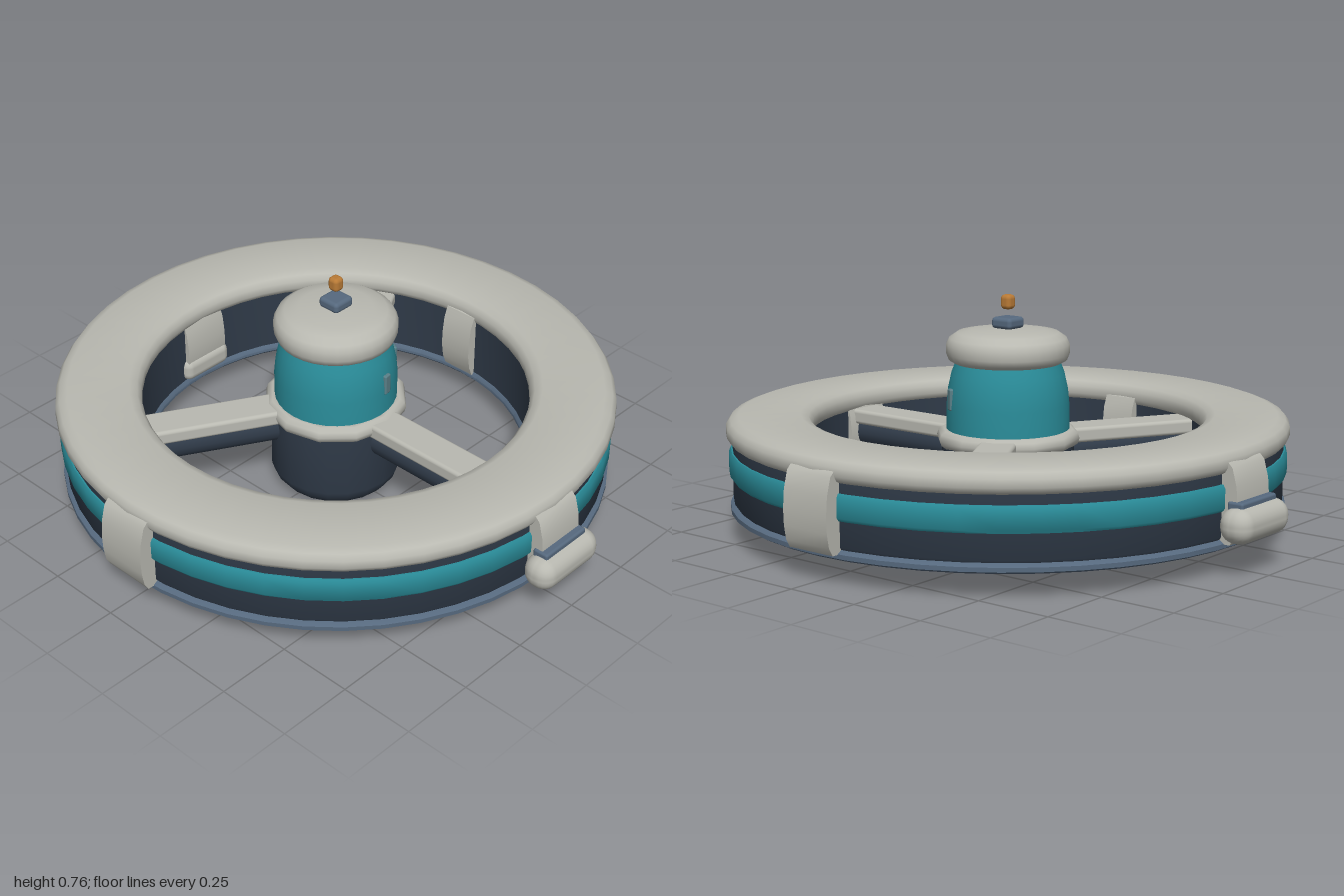
import * as THREE from 'three';
import { toCreasedNormals } from 'three/addons/utils/BufferGeometryUtils.js';
import { RoundedBoxGeometry } from 'three/addons/geometries/RoundedBoxGeometry.js';

const paint = (color) => new THREE.MeshStandardMaterial({ color });
const shell = paint(0xb9b9b1), teal = paint(0x2a8c99), navy = paint(0x303b49);
const slate = paint(0x56697e), amber = paint(0xb87a36), vent = paint(0x5b8088);

export function createModel() {
  const model = new THREE.Group();

  const add = (name, geometry, material, parent = model) => {
    const mesh = new THREE.Mesh(geometry, material);
    mesh.name = name;
    parent.add(mesh);
    return mesh;
  };
  // Profiles run counterclockwise as [radius, height]
  const lathe = (name, points, material, sides = 48) => add(name, toCreasedNormals(
    new THREE.LatheGeometry(points.map(([r, y]) => new THREE.Vector2(r, y)), sides), 0.7), material);
  const box = (name, size, position, radius, material, parent) => {
    const mesh = add(name, new RoundedBoxGeometry(...size, 3, radius), material, parent);
    mesh.position.set(...position);
    return mesh;
  };
  // Radial profile extruded sideways, lying on the +x side
  const pad = (name, points, width, parent) => {
    const shape = new THREE.Shape(points.map(([r, y]) => new THREE.Vector2(r, y)));
    const geometry = new THREE.ExtrudeGeometry(shape, { depth: width, bevelEnabled: false });
    geometry.translate(0, 0, -width / 2);
    return add(name, toCreasedNormals(geometry, 0.6), shell, parent);
  };

  // Main ring: bottom plate, body, coloured band and top cover
  lathe('ringBottom', [[0.64, 0.08], [0.885, 0.08], [0.9, 0.088], [0.9, 0.102], [0.885, 0.112],
    [0.64, 0.112], [0.63, 0.1], [0.63, 0.09], [0.64, 0.08]], slate);
  lathe('ringBody', [[0.64, 0.105], [0.88, 0.105], [0.89, 0.12], [0.89, 0.32],
    [0.64, 0.32], [0.64, 0.105]], navy);
  lathe('ringBand', [[0.88, 0.2], [0.895, 0.2], [0.902, 0.21], [0.902, 0.27], [0.895, 0.282],
    [0.88, 0.282]], teal);
  lathe('ringCover', [[0.65, 0.31], [0.885, 0.31], [0.9, 0.318], [0.91, 0.335], [0.908, 0.36],
    [0.895, 0.378], [0.87, 0.387], [0.67, 0.387], [0.645, 0.378], [0.632, 0.36], [0.63, 0.335],
    [0.638, 0.318], [0.65, 0.31]], shell);

  // Central hub
  lathe('hubBase', [[0, 0.005], [0.165, 0.005], [0.185, 0.013], [0.207, 0.04], [0.215, 0.065],
    [0.215, 0.29], [0, 0.29]], navy, 20);
  const collar = add('hubCollar', new THREE.TorusGeometry(0.205, 0.03, 10, 12), shell);
  collar.rotation.x = Math.PI / 2;
  collar.position.y = 0.3;
  lathe('hubBody', [[0.2, 0.28], [0.2, 0.41], [0.195, 0.46], [0.184, 0.51], [0.168, 0.55],
    [0, 0.55]], teal, 32);
  lathe('hubCap', [[0, 0.545], [0.175, 0.545], [0.192, 0.555], [0.2, 0.575], [0.2, 0.605],
    [0.19, 0.625], [0.165, 0.642], [0.12, 0.65], [0, 0.657]], shell, 32);

  // Vent slots on the hub
  for (const degrees of [9, 60]) {
    const a = THREE.MathUtils.degToRad(degrees);
    const slot = box('hubSlot', [0.028, 0.07, 0.016],
      [Math.sin(a) * 0.196, 0.432, Math.cos(a) * 0.196], 0.005, vent);
    slot.rotation.y = a;
  }

  // Beacon
  box('beaconBase', [0.08, 0.037, 0.08], [0, 0.673, 0], 0.013, slate);
  box('beacon', [0.04, 0.048, 0.04], [0, 0.74, 0], 0.014, amber);

  // Three spokes: flat top plate over a round beam
  for (let i = 0; i < 3; i++) {
    const spoke = new THREE.Group();
    spoke.name = 'spoke';
    spoke.rotation.y = i * Math.PI * 2 / 3;
    box('spokePlate', [0.12, 0.05, 0.5], [0, 0.295, 0.41], 0.012, shell, spoke);
    const beam = add('spokeBeam', new THREE.CylinderGeometry(0.055, 0.055, 0.52, 16), navy, spoke);
    beam.rotation.x = Math.PI / 2;
    beam.position.set(0, 0.24, 0.4);
    model.add(spoke);
  }

  // Four clips around the ring; the front and back ones carry bumpers
  const outerPad = [[0.87, 0.1], [0.915, 0.1], [0.93, 0.125], [0.938, 0.17], [0.94, 0.22],
    [0.935, 0.28], [0.92, 0.335], [0.905, 0.35], [0.87, 0.35]];
  const innerPad = [[0.66, 0.1], [0.66, 0.35], [0.625, 0.34], [0.61, 0.3], [0.602, 0.24],
    [0.602, 0.19], [0.61, 0.14], [0.625, 0.105]];
  for (let i = 0; i < 4; i++) {
    const clip = new THREE.Group();
    clip.name = 'clip';
    clip.rotation.y = i * Math.PI / 2;
    pad('outerPad', outerPad, 0.175, clip);
    const inner = pad('innerPad', innerPad, i % 2 ? 0.17 : 0.12, clip);
    if (i % 2) {
      inner.position.x = 0.015;
      box('bumper', [0.11, 0.11, 0.275], [0.945, 0.165, 0], 0.05, shell, clip);
      box('bumperPlate', [0.055, 0.03, 0.19], [0.935, 0.22, 0], 0.008, slate, clip);
      box('innerBumper', [0.06, 0.08, 0.2], [0.638, 0.15, 0], 0.028, shell, clip);
    }
    model.add(clip);
  }
  return model;
}
